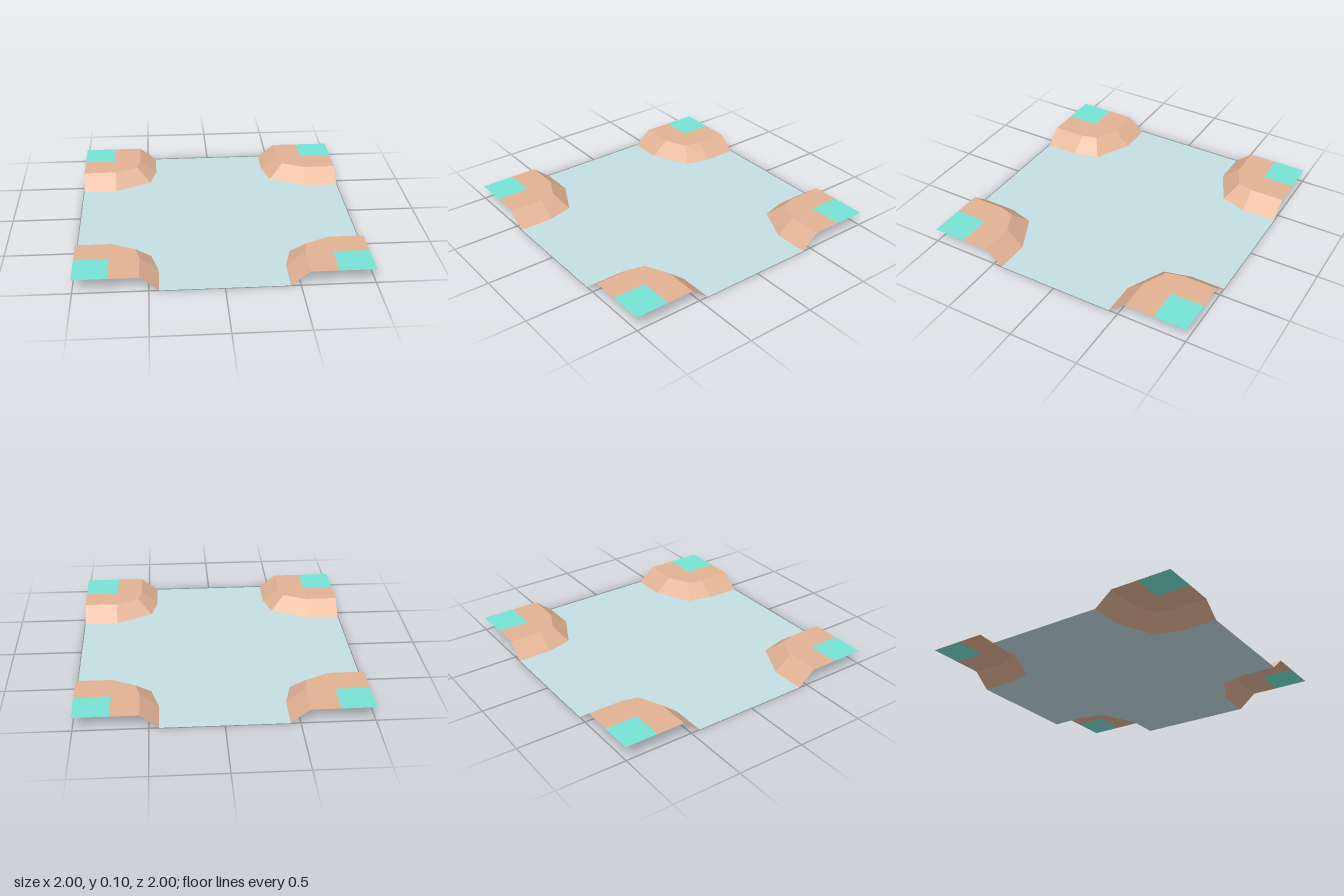
import * as THREE from 'three';

const HEIGHT = 0.103;

// Foot and rim of one raised corner, as [x, z] in the +x +z quadrant
const FOOT = [[0.433, 1], [0.433, 0.752], [0.482, 0.564], [0.752, 0.433], [1, 0.433]];
const RIM = [[0.559, 1], [0.559, 0.752], [0.587, 0.637], [0.752, 0.559], [1, 0.559]];

const mirror = (points, sx, sz) => points.map(([x, z]) => [x * sx, z * sz]);

// Upward-facing flat polygon from [x, z] points
function flat(points, y) {
  const shape = new THREE.Shape(points.map(([x, z]) => new THREE.Vector2(x, -z)));
  return new THREE.ShapeGeometry(shape).rotateX(-Math.PI / 2).translate(0, y, 0);
}

// Faceted bank joining the foot line to the rim line
function bank(foot, rim, flip) {
  const pos = [];
  for (let i = 0; i < foot.length - 1; i++) {
    const a = [foot[i][0], 0, foot[i][1]];
    const b = [foot[i + 1][0], 0, foot[i + 1][1]];
    const c = [rim[i + 1][0], HEIGHT, rim[i + 1][1]];
    const d = [rim[i][0], HEIGHT, rim[i][1]];
    const quad = flip ? [a, b, c, a, c, d] : [a, c, b, a, d, c];
    quad.forEach((p) => pos.push(...p));
  }
  const geometry = new THREE.BufferGeometry();
  geometry.setAttribute('position', new THREE.Float32BufferAttribute(pos, 3));
  geometry.computeVertexNormals();
  return geometry;
}

function material(name, color) {
  return new THREE.MeshStandardMaterial({ name, color, side: THREE.DoubleSide, flatShading: true });
}

export function createModel() {
  const model = new THREE.Group();
  model.name = 'crossroadTile';
  const road = material('paleBlueRoad', 0xc3dfe3);
  const dirt = material('tanDirt', 0xe2b294);
  const grass = material('tealGrass', 0x75e3d5);

  const add = (parent, name, geometry, mat) => {
    const mesh = new THREE.Mesh(geometry, mat);
    mesh.name = name;
    parent.add(mesh);
  };

  // Cross-shaped road, its outline walking round the four corners
  const outline = [
    ...mirror(FOOT, 1, 1),
    ...mirror(FOOT, 1, -1).reverse(),
    ...mirror(FOOT, -1, -1),
    ...mirror(FOOT, -1, 1).reverse(),
  ];
  add(model, 'road', flat(outline, 0), road);

  // Four raised corners: sloped bank, dirt ledge and grass patch
  for (const sx of [1, -1]) {
    for (const sz of [1, -1]) {
      const corner = new THREE.Group();
      corner.name = `${sz > 0 ? 'front' : 'back'}${sx > 0 ? 'Left' : 'Right'}Corner`;
      const foot = mirror(FOOT, sx, sz);
      const rim = mirror(RIM, sx, sz);
      const gx = sx * 0.757 - 0.006;
      const gz = sz * 0.76 - 0.004;
      add(corner, 'bank', bank(foot, rim, sx * sz < 0), dirt);
      add(corner, 'ledge', flat([...rim, [sx, gz], [gx, gz], [gx, sz]], HEIGHT), dirt);
      add(corner, 'grassPatch', flat([[gx, gz], [sx, gz], [sx, sz], [gx, sz]], HEIGHT), grass);
      model.add(corner);
    }
  }
  return model;
}
